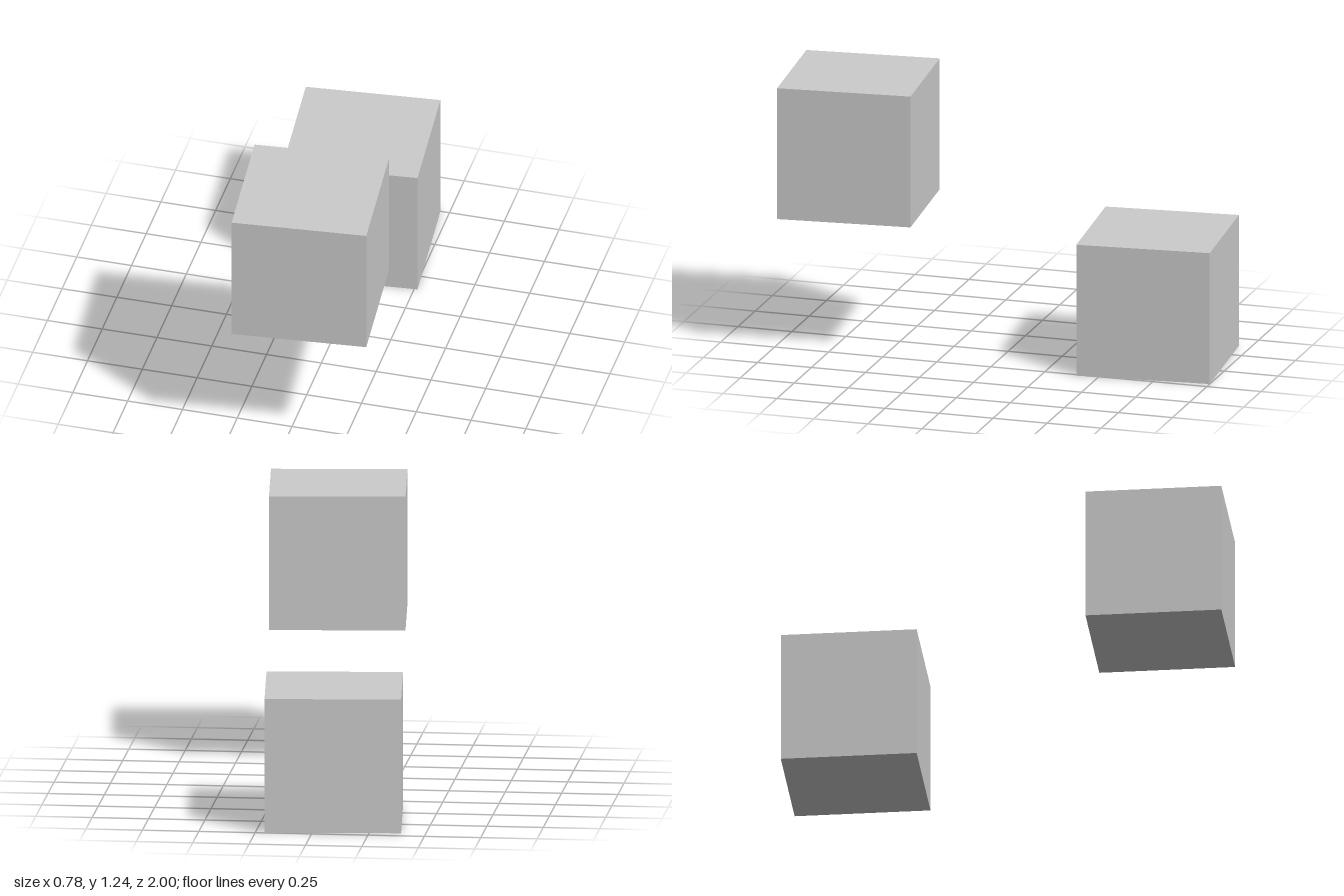
import * as THREE from 'three';

const SIZE = 0.602;
const TURN = 0.093;

export function createModel() {
  const group = new THREE.Group();
  const material = new THREE.MeshStandardMaterial({ color: 0xcccccc, flatShading: true });
  const geometry = new THREE.BoxGeometry(SIZE, SIZE, SIZE);

  // Two equal cubes, turned slightly about the vertical axis
  const addCube = (name, x, bottom, z) => {
    const cube = new THREE.Mesh(geometry, material);
    cube.name = name;
    cube.position.set(x, bottom + SIZE / 2, z);
    cube.rotation.y = TURN;
    group.add(cube);
  };

  addCube('upperFrontCube', 0.063, 0.634, 0.672); // raised cube at the front
  addCube('lowerBackCube', -0.063, 0, -0.672); // cube on the ground at the back

  return group;
}
